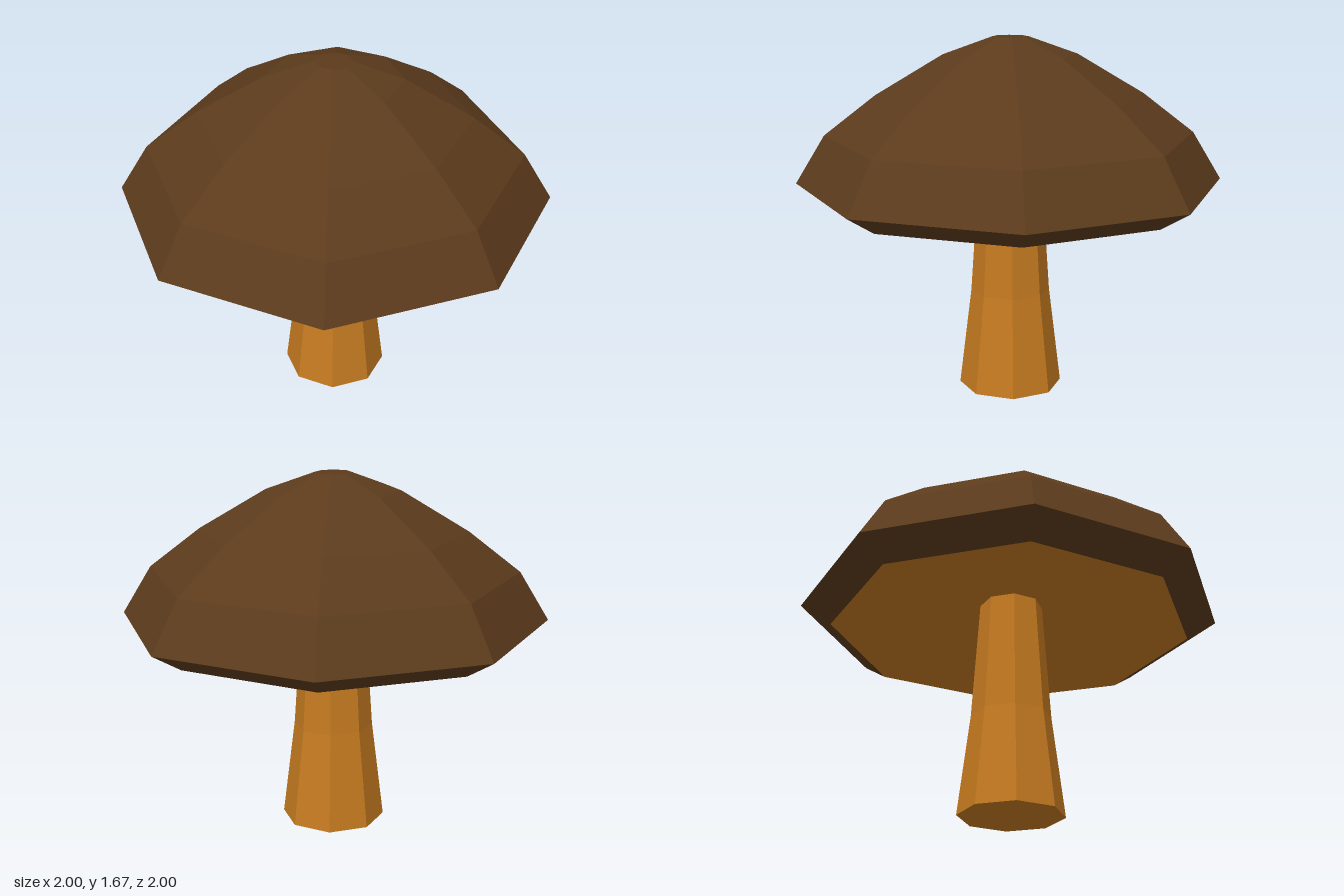
import * as THREE from 'three';

const SIDES = 8;

// Faceted solid of revolution; profile runs upward along the outside as [radius, height]
function facetedLathe(name, profile, color) {
  const points = profile.map(([r, y]) => new THREE.Vector2(r, y));
  const geometry = new THREE.LatheGeometry(points, SIDES).toNonIndexed();
  geometry.computeVertexNormals();
  const material = new THREE.MeshStandardMaterial({ color, flatShading: true });
  const mesh = new THREE.Mesh(geometry, material);
  mesh.name = name;
  return mesh;
}

export function createModel() {
  const mushroom = new THREE.Group();
  mushroom.name = 'mushroom';

  const stemColor = 0xc67b20;
  const capColor = 0x5c3b1c;

  // Tapered stem with a closed foot, reaching up into the hollow of the cap
  mushroom.add(facetedLathe('stem', [
    [0, 0], [0.245, 0], [0.187, 0.47], [0.148, 1.05],
  ], stemColor));

  // Shallow conical underside
  mushroom.add(facetedLathe('capUnderside', [
    [0, 1.065], [0.855, 0.91],
  ].map(([r, y]) => [r, y]), stemColor));

  // Domed cap, from the lower lip over the widest rim to the flat crown
  mushroom.add(facetedLathe('cap', [
    [0.855, 0.91], [1, 1], [0.862, 1.225], [0.622, 1.41],
    [0.31, 1.595], [0.085, 1.675], [0, 1.675],
  ], capColor));

  return mushroom;
}
